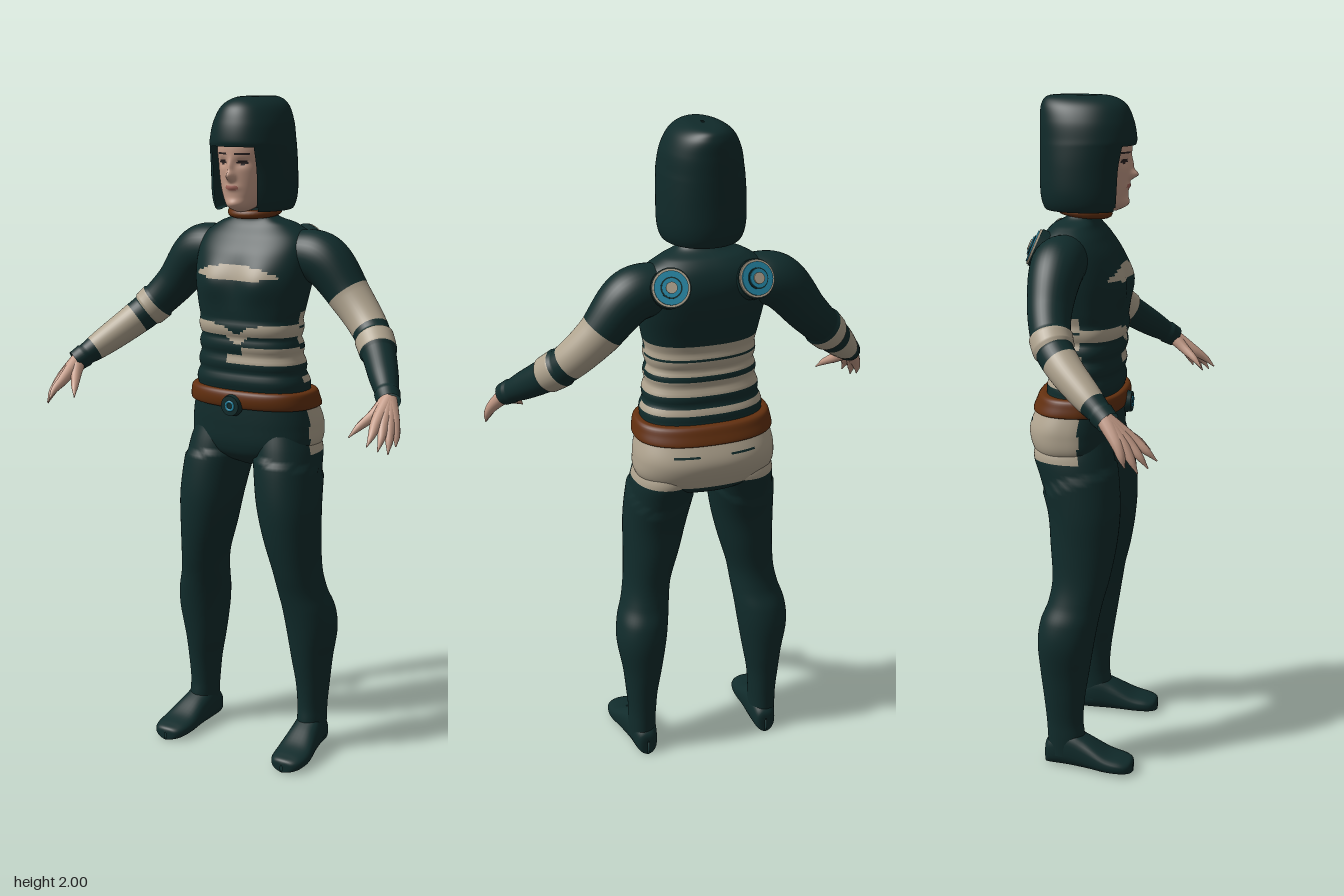
import * as THREE from 'three';

const mat = (name, color) => {
  const m = new THREE.MeshStandardMaterial({ color, side: THREE.DoubleSide });
  m.name = name;
  return m;
};

// Smooth interpolation of a table of sections, t from 0 to 1
function sample(S, t) {
  const f = Math.min(t, 1) * (S.length - 1), i = Math.min(Math.floor(f), S.length - 2), k = f - i;
  const at = j => S[Math.max(0, Math.min(S.length - 1, j))];
  return S[0].map((_, c) => {
    const [a, b, d, e] = [at(i - 1)[c], at(i)[c], at(i + 1)[c], at(i + 2)[c]];
    return b + 0.5 * k * (d - a + k * (2 * a - 5 * b + 4 * d - e + k * (3 * (b - d) + e - a)));
  });
}

// Closed-around surface; paint(p, v) gives a material index per cell, or -1 for a hole
function surface(name, rows, cols, point, mats, paint = () => 0) {
  const pts = [], mid = new THREE.Vector3();
  for (let j = 0; j <= rows; j++)
    for (let i = 0; i < cols; i++) {
      const p = point((i / cols) * Math.PI * 2, j / rows);
      pts.push(p);
      mid.add(p);
    }
  mid.divideScalar(pts.length);
  const cells = mats.map(() => []);
  let volume = 0;
  for (let j = 0; j < rows; j++)
    for (let i = 0; i < cols; i++) {
      const n = (i + 1) % cols, a = j * cols + i, b = j * cols + n, c = a + cols, d = b + cols;
      const [A, B, C, D] = [a, b, c, d].map(q => pts[q].clone().sub(mid));
      volume += A.dot(B.clone().cross(C)) + B.dot(D.clone().cross(C));
      const m = paint(A.add(B).add(C).add(D).divideScalar(4).add(mid), (j + 0.5) / rows);
      if (m >= 0) cells[m].push([a, b, c], [b, d, c]);
    }
  const g = new THREE.BufferGeometry().setFromPoints(pts), index = [];
  cells.forEach((list, m) => {
    g.addGroup(index.length, list.length * 3, m);
    for (const [a, b, c] of list) index.push(a, ...(volume < 0 ? [c, b] : [b, c]));
  });
  g.setIndex(index);
  g.computeVertexNormals();
  const mesh = new THREE.Mesh(g, mats);
  mesh.name = name;
  return mesh;
}

// Upright body from sections [y, centreX, halfWidth, zFront, zBack]
const pow = (v, n) => Math.sign(v) * Math.abs(v) ** (2 / n);
function body(S, n, grow = () => 0, shape = p => p) {
  return (a, v) => {
    const [y, cx, w, zf, zb] = sample(S, v), x = pow(Math.cos(a), n), z = pow(Math.sin(a), n);
    const p = new THREE.Vector3(cx + w * x, y, (zf + zb) / 2 + ((zf - zb) / 2) * z);
    const k = grow(p);
    p.x += k * x;
    p.z += k * z;
    return shape(p);
  };
}

// Round limb along points [x, y, z, radius]
function limb(P, grow = () => 0) {
  const curve = new THREE.CatmullRomCurve3(P.map(p => new THREE.Vector3(...p)));
  const N = 200, frames = curve.computeFrenetFrames(N);
  return (a, v) => {
    const k = Math.round(v * N), c = curve.getPointAt(v);
    const r = Math.max(0, sample(P, curve.getUtoTmapping(v))[3]) + grow(c);
    return c.addScaledVector(frames.normals[k], r * Math.cos(a)).addScaledVector(frames.binormals[k], r * Math.sin(a));
  };
}

const within = (v, a, b) => v > a && v < b;
const bell = (x, y, sx, sy) => Math.exp(-((x / sx) ** 2) - (y / sy) ** 2);

export function createModel() {
  const root = new THREE.Group();
  root.name = 'figure';
  const suit = mat('dark teal suit', 0x112c2c), cloth = mat('beige cloth', 0xb0a48f);
  const leather = mat('brown leather', 0x63300f), skin = mat('skin', 0xc59c88);
  const blue = mat('blue disc', 0x2589a8), hairMat = mat('dark hair', 0x102a2a);
  const lip = mat('lips', 0xa5675c), eye = mat('eyes', 0x2a2222);

  const add = (geo, m, name, pos, parent = root) => {
    const mesh = new THREE.Mesh(geo, m);
    mesh.name = name;
    mesh.position.set(...pos);
    parent.add(mesh);
    return mesh;
  };

  // Beige seat of the shorts with two pocket slits
  const seat = p => within(p.y, 0.962, 1.1) && p.z < -0.06 &&
    !(within(Math.abs(p.x), 0.05, 0.12) && within(p.y, 1.062, 1.073));

  // Torso with padded waist bands and painted stripes
  const torso = [
    [0.91, 0, 0.03, -0.04, -0.14], [0.94, 0, 0.14, 0.01, -0.2], [0.98, 0, 0.203, 0.028, -0.225],
    [1.04, 0, 0.21, 0.032, -0.238], [1.1, 0, 0.198, 0.032, -0.215], [1.16, 0, 0.178, 0.03, -0.182],
    [1.25, 0, 0.162, 0.032, -0.165], [1.33, 0, 0.157, 0.04, -0.163], [1.4, 0, 0.17, 0.045, -0.175],
    [1.48, 0, 0.183, 0.042, -0.195], [1.55, 0, 0.185, 0.022, -0.205], [1.6, 0, 0.172, -0.01, -0.195],
    [1.635, 0, 0.125, -0.035, -0.17], [1.66, 0, 0.068, -0.042, -0.13], [1.71, 0, 0.05, -0.04, -0.12],
  ];
  const pads = p => within(p.y, 1.15, 1.36) ? 0.007 * Math.abs(Math.sin(((p.y - 1.15) * Math.PI) / 0.0525)) : 0;
  const chest = p => {
    if (p.z > -0.05) p.z += 0.016 * bell(Math.abs(p.x) - 0.08, p.y - 1.47, 0.06, 0.06);
    return p;
  };
  const stripes = p => {
    const { x, y, z } = p, q = (x / 0.135) ** 2;
    if (z < -0.06) {
      return seat(p) || within(y, 1.295, 1.335) || within(y, 1.343, 1.385) ||
        within(y, 1.235, 1.275) || within(y, 1.175, 1.198) ? 1 : 0;
    }
    const dip = 0.025 * bell(x - 0.01, 0, 0.03, 1);
    return (q < 1 && z > 0 && within(y, 1.478 + 0.012 * q, 1.526 - 0.03 * q)) || within(y, 1.317 - dip, 1.348 - dip) ||
      (x > -0.03 && within(y, 1.23, x > 0.03 ? 1.282 : 1.258)) ? 1 : 0;
  };
  root.add(surface('torso', 140, 112, body(torso, 2.4, pads, chest), [suit, cloth], stripes));

  // Belt, buckle and collar
  const belt = [[1.1, 0, 0.19, 0.03, -0.21], [1.1, 0, 0.207, 0.044, -0.226], [1.125, 0, 0.205, 0.05, -0.217],
    [1.148, 0, 0.197, 0.044, -0.205], [1.15, 0, 0.17, 0.02, -0.18]];
  root.add(surface('belt', 20, 64, body(belt, 2.4), [leather]));
  add(new THREE.CylinderGeometry(0.03, 0.034, 0.02, 20).rotateX(Math.PI / 2), suit, 'buckle', [0, 1.108, 0.052]);
  add(new THREE.TorusGeometry(0.013, 0.004, 8, 20), blue, 'buckleRing', [0, 1.108, 0.061]);
  add(new THREE.TorusGeometry(0.068, 0.013, 10, 40).rotateX(Math.PI / 2 + 0.1), leather, 'collar', [0, 1.672, -0.08]);

  // Head with nose, lips and eyes
  const head = [
    [1.675, 0, 0.012, 0.015, -0.05], [1.69, 0, 0.038, 0.042, -0.07], [1.72, 0, 0.06, 0.046, -0.1],
    [1.76, 0, 0.072, 0.05, -0.12], [1.81, 0, 0.078, 0.054, -0.13], [1.87, 0, 0.082, 0.056, -0.14],
    [1.92, 0, 0.06, 0.03, -0.12], [1.94, 0, 0.01, -0.03, -0.06],
  ];
  const features = p => {
    if (p.z > 0) {
      const { x, y } = p;
      p.z += 0.024 * bell(x, y - 1.778, 0.011, 0.013) + 0.01 * bell(x, y - 1.805, 0.009, 0.022) +
        0.006 * bell(x, y - 1.747, 0.02, 0.009) + 0.006 * bell(x, y - 1.7, 0.025, 0.012) -
        0.007 * bell(Math.abs(x) - 0.032, y - 1.817, 0.018, 0.012);
    }
    return p;
  };
  const facePaint = ({ x, y, z }) => {
    if (z < 0) return 0;
    const e = Math.abs(x) - 0.032;
    if ((x / 0.023) ** 2 + ((y - 1.746) / 0.0075) ** 2 < 1) return 1;
    return (e / 0.016) ** 2 + ((y - 1.818) / 0.006) ** 2 < 1 || (Math.abs(e) < 0.02 && within(y, 1.838, 1.844)) ? 2 : 0;
  };
  root.add(surface('head', 84, 128, body(head, 2.1, undefined, features), [skin, lip, eye], facePaint));

  // Bobbed hair with a straight fringe
  const hair = [
    [2.0, 0, 0.004, -0.08, -0.1], [1.998, 0, 0.045, -0.005, -0.18], [1.975, 0, 0.083, 0.04, -0.204],
    [1.93, 0, 0.107, 0.062, -0.208], [1.88, 0, 0.117, 0.071, -0.208], [1.855, 0, 0.12, 0.066, -0.208],
    [1.8, 0, 0.123, 0.055, -0.208], [1.73, 0, 0.123, 0.05, -0.208], [1.69, 0, 0.115, 0.045, -0.2],
    [1.677, 0, 0.1, 0.035, -0.185], [1.69, 0, 0.06, -0.02, -0.13],
  ];
  root.add(surface('hair', 90, 112, body(hair, 2.1), [hairMat],
    p => (p.y < 1.862 && Math.abs(p.x) < 0.071 && p.z > -0.03 ? -1 : 0)));

  const leg = [
    [0.04, 0.2, 0.036, -0.05, -0.15], [0.1, 0.201, 0.036, -0.05, -0.152], [0.15, 0.2, 0.037, -0.055, -0.155],
    [0.22, 0.2, 0.043, -0.05, -0.162], [0.3, 0.197, 0.054, -0.038, -0.172], [0.4, 0.197, 0.07, -0.022, -0.18],
    [0.47, 0.19, 0.072, -0.01, -0.172], [0.53, 0.177, 0.067, 0.002, -0.15], [0.6, 0.166, 0.066, 0.02, -0.14],
    [0.7, 0.15, 0.078, 0.038, -0.148], [0.8, 0.138, 0.089, 0.046, -0.158], [0.9, 0.126, 0.094, 0.04, -0.188],
    [0.97, 0.116, 0.095, 0.028, -0.21], [1.02, 0.108, 0.085, 0.015, -0.195],
  ];
  // Foot sections [z, centreX, halfWidth, height]
  const foot = [
    [-0.166, 0.197, 0.003, 0.05], [-0.158, 0.198, 0.03, 0.08], [-0.1, 0.2, 0.043, 0.12], [-0.04, 0.206, 0.049, 0.098],
    [0.03, 0.213, 0.057, 0.06], [0.08, 0.215, 0.052, 0.046], [0.104, 0.215, 0.034, 0.038], [0.11, 0.214, 0.003, 0.025],
  ];
  const arm = [
    [0.11, 1.55, -0.105, 0.07], [0.21, 1.538, -0.113, 0.077], [0.31, 1.43, -0.112, 0.062], [0.385, 1.352, -0.085, 0.054],
    [0.43, 1.307, -0.045, 0.05], [0.49, 1.245, 0.03, 0.042], [0.543, 1.192, 0.1, 0.029],
  ];
  const fingers = {
    thumb: [[0.515, 1.16, 0.135], [0.49, 1.13, 0.175], [0.473, 1.105, 0.2]],
    indexFinger: [[0.54, 1.145, 0.17], [0.546, 1.12, 0.205], [0.545, 1.095, 0.232]],
    middleFinger: [[0.557, 1.14, 0.16], [0.567, 1.11, 0.19], [0.568, 1.08, 0.212]],
    ringFinger: [[0.57, 1.137, 0.148], [0.582, 1.1, 0.172], [0.587, 1.07, 0.188]],
    littleFinger: [[0.577, 1.14, 0.133], [0.59, 1.11, 0.146], [0.594, 1.085, 0.155]],
  };

  for (const s of [1, -1]) {
    const side = s > 0 ? 'left' : 'right';
    const flip = fn => (a, v) => {
      const p = fn(a, v);
      p.x *= s;
      return p;
    };

    // Legs: stockings are raised below a slanted, pointed hem
    const hem = p => (p.y < 0.9 + 0.35 * (p.z + 0.06) + 0.25 * Math.abs(p.x - 0.15) ? 0.006 : 0);
    root.add(surface(side + 'Leg', 90, 48, flip(body(leg, 2.1, hem)), [suit, cloth], p => (seat(p) ? 1 : 0)));
    root.add(surface(side + 'Foot', 42, 32, flip((a, v) => {
      const [z, cx, w, h] = sample(foot, v);
      return new THREE.Vector3(cx + w * pow(Math.cos(a), 2.4), 0.003 + (h / 2) * (1 + pow(Math.sin(a), 2.6)), z);
    }), [suit]));

    // Arms: different beige wraps on each side
    const wraps = s > 0 ? [[0.295, 0.388], [0.408, 0.438]] : [[0.365, 0.395], [0.418, 0.505]];
    const cuff = wraps[s > 0 ? 1 : 0];
    const armPaint = (p, v) => {
      const c = armCurve.getPointAt(v).x;
      return wraps.some(([a, b]) => within(c, a, b)) ? 1 : 0;
    };
    const armCurve = new THREE.CatmullRomCurve3(arm.map(([x, y, z]) => new THREE.Vector3(x, y, z)));
    root.add(surface(side + 'Arm', 100, 36,
      flip(limb(arm, c => (within(c.x, ...cuff) ? 0.005 : c.x > 0.525 ? 0.004 : 0))), [suit, cloth], armPaint));

    // Hands
    const hand = new THREE.Group();
    hand.name = side + 'Hand';
    for (const [name, [b, m, t]] of Object.entries(fingers)) {
      const path = [[0.538, 1.197, 0.092, 0.024], [...b, 0.0165], [...m, 0.0105], [...t, 0.002]];
      hand.add(surface(name, 25, 12, flip(limb(path)), [skin]));
    }
    root.add(hand);

    // Round discs on the shoulder blades
    const disc = new THREE.Group();
    disc.name = side + 'BackDisc';
    [[0.056, 0.05, suit], [0.053, 0.056, cloth], [0.047, 0.06, blue], [0.03, 0.063, suit], [0.026, 0.066, blue],
      [0.016, 0.07, cloth]].forEach(([r, h, m], i) =>
      add(new THREE.CylinderGeometry(r, r, h, 32), m, 'discLayer' + i, [0, h / 2, 0], disc));
    disc.position.set(s * 0.115, 1.56, -0.153);
    disc.quaternion.setFromUnitVectors(new THREE.Vector3(0, 1, 0), new THREE.Vector3(s * 0.15, 0.4, -0.9).normalize());
    root.add(disc);
  }
  return root;
}
